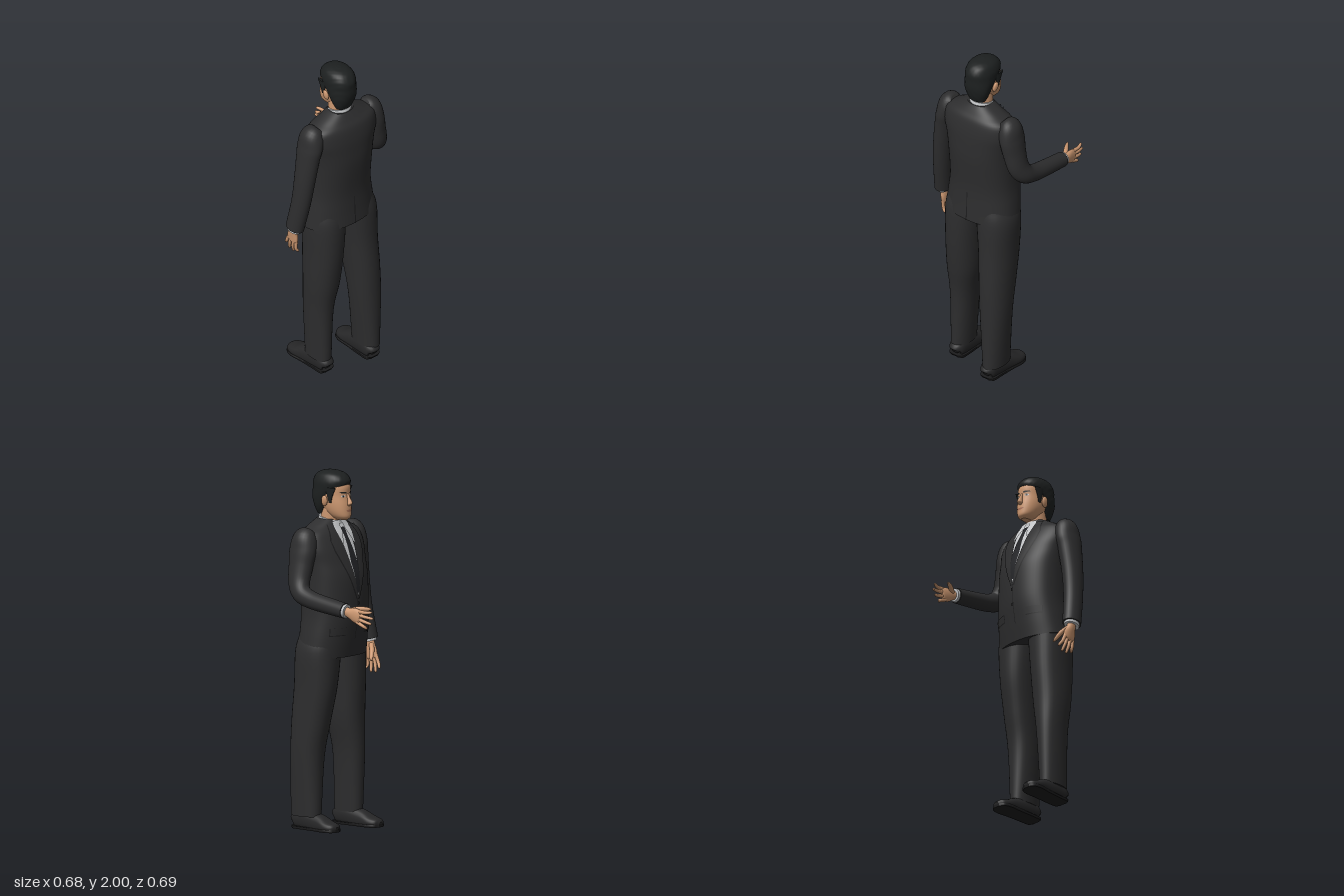
import * as THREE from 'three';

const mat = (name, color) => {
  const m = new THREE.MeshStandardMaterial({ color });
  m.name = name;
  return m;
};
const V = (x, y, z) => new THREE.Vector3(x, y, z);
const X = V(1, 0, 0), UP = V(0, 1, 0);

// Smooth curves through rows [x, y, z, halfWidth, halfDepth]
function curves(rows) {
  const make = pts => new THREE.CatmullRomCurve3(pts, false, 'catmullrom', 0.5);
  return { pos: make(rows.map(r => V(r[0], r[1], r[2]))), rad: make(rows.map(r => V(r[3], r[4], 0))) };
}

// Closed skin over superelliptic rings; 'axis' fixes the ring direction, 'rule' moves each point
function loft(rows, { seg = 24, sub = 5, ref = X, axis = null, n = 2, rule = null } = {}) {
  const { pos, rad } = curves(rows), steps = (rows.length - 1) * sub;
  const verts = [], index = [];
  const add = p => { if (rule) rule(p); verts.push(p.x, p.y, p.z); };
  const pw = v => Math.sign(v) * Math.abs(v) ** (2 / n);
  const ring = t => {
    const c = pos.getPoint(t), r = rad.getPoint(t), T = axis || pos.getTangent(t);
    const S = ref.clone().addScaledVector(T, -ref.dot(T)).normalize(), N = T.clone().cross(S);
    for (let i = 0; i < seg; i++) {
      const a = i / seg * Math.PI * 2;
      add(c.clone().addScaledVector(S, r.x * pw(Math.cos(a))).addScaledVector(N, r.y * pw(Math.sin(a))));
    }
  };
  for (let j = 0; j <= steps; j++) ring(j / steps);
  for (let j = 0; j < steps; j++) for (let i = 0; i < seg; i++) {
    const a = j * seg + i, b = j * seg + (i + 1) % seg;
    index.push(a, b, b + seg, a, b + seg, a + seg);
  }
  // End caps with their own vertices keep the rims sharp
  for (const t of [0, 1]) {
    const s = verts.length / 3;
    ring(t);
    add(pos.getPoint(t));
    for (let i = 0; i < seg; i++) {
      const k = s + (i + 1) % seg;
      index.push(s + seg, ...(t ? [s + i, k] : [k, s + i]));
    }
  }
  const g = new THREE.BufferGeometry();
  g.setAttribute('position', new THREE.Float32BufferAttribute(verts, 3));
  g.setIndex(index);
  g.computeVertexNormals();
  return g;
}

// Thin sheet lying on an upright loft; rows [y, xMin, xMax] run downward, side -1 is the face side
function patch(body, n, rows, off, side = -1) {
  const { pos, rad } = curves(body), verts = [], index = [], nx = 6, sub = 8;
  const steps = (rows.length - 1) * sub;
  for (let j = 0; j <= steps; j++) {
    const k = Math.min(Math.floor(j / sub), rows.length - 2), f = j / sub - k;
    const [y, x0, x1] = rows[k].map((v, q) => v + (rows[k + 1][q] - v) * f);
    let lo = 0, hi = 1;
    for (let q = 0; q < 24; q++) { const m = (lo + hi) / 2; if (pos.getPoint(m).y < y) lo = m; else hi = m; }
    const c = pos.getPoint(lo), r = rad.getPoint(lo);
    for (let i = 0; i <= nx; i++) {
      const x = x0 + (x1 - x0) * i / nx, u = Math.min(1, Math.abs((x - c.x) / r.x));
      verts.push(x, y, c.z + side * (r.y * (1 - u ** n) ** (1 / n) + off));
    }
  }
  for (let j = 0; j < steps; j++) for (let i = 0; i < nx; i++) {
    const a = j * (nx + 1) + i, b = a + 1, c = a + nx + 1, d = c + 1;
    index.push(...(side < 0 ? [a, b, d, a, d, c] : [a, d, b, a, c, d]));
  }
  const g = new THREE.BufferGeometry();
  g.setAttribute('position', new THREE.Float32BufferAttribute(verts, 3));
  g.setIndex(index);
  g.computeVertexNormals();
  return g;
}
const mirrored = (rows, s) => s > 0 ? rows : rows.map(([y, a, b]) => [y, -b, -a]);

export function createModel() {
  const model = new THREE.Group();
  const suit = mat('suit charcoal', 0x2d2d2e), seam = mat('seam black', 0x1c1c1d), hairM = mat('hair black', 0x1d2020);
  const skin = mat('skin', 0xcd9871), lip = mat('lip', 0xa87058), shirt = mat('shirt grey white', 0xc6c8ca);
  const tieM = mat('tie', 0x222326), shoeM = mat('shoe', 0x262627);
  const put = (name, geo, m) => {
    const o = new THREE.Mesh(geo, m);
    o.name = name;
    model.add(o);
    return o;
  };

  // Jacket body, hem dipping at the chest side
  const torso = [[0, 1, .175, .225, .147], [0, 1.1, .163, .215, .153], [0, 1.22, .155, .203, .16], [0, 1.4, .165, .205, .165],
    [0, 1.5, .178, .215, .152], [0, 1.58, .19, .23, .135], [0, 1.65, .2, .215, .11], [0, 1.69, .2, .15, .085], [0, 1.73, .195, .075, .062]];
  const hem = p => { if (p.y < 1.2) p.y -= .03 * (1.2 - p.y) / .2 * THREE.MathUtils.clamp((.25 - p.z) / .2, 0, 1); };
  put('jacket', loft(torso, { seg: 56, axis: UP, n: 2.3, rule: hem }), suit);
  const onTorso = (name, rows, off, m, side) => put(name, patch(torso, 2.3, rows, off, side), m);
  onTorso('shirtFront', [[1.715, -.05, .05], [1.6, -.055, .055], [1.3, -.004, .004]], .003, shirt);
  onTorso('tie', [[1.685, -.022, .022], [1.645, -.013, .013], [1.5, -.026, .026], [1.33, -.012, .012]], .008, tieM);
  onTorso('frontClosure', [[1.3, -.002, .002], [1.05, -.002, .002]], .003, seam);
  onTorso('backVent', [[1.18, -.002, .002], [1.0, -.004, .004]], .003, seam, 1);
  for (const y of [1.27, 1.18]) onTorso('button', [[y + .008, -.008, .008], [y - .008, -.008, .008]], .007, seam);
  for (const s of [1, -1]) {
    onTorso('lapelEdge', mirrored([[1.705, .045, .094], [1.625, .046, .127], [1.565, .04, .12], [1.295, -.002, .014]], s), .005, seam);
    onTorso('lapel', mirrored([[1.705, .048, .09], [1.62, .05, .122], [1.57, .044, .115], [1.3, .001, .01]], s), .008, suit);
    onTorso('collarWing', mirrored([[1.72, .01, .06], [1.66, .02, .062], [1.6, .046, .05]], s), .011, shirt);
    onTorso('pocketEdge', mirrored([[1.14, .078, .172], [1.095, .078, .172]], s), .004, seam);
    onTorso('pocketFlap', mirrored([[1.14, .08, .17], [1.1, .08, .17]], s), .007, suit);
  }

  // Sleeves
  const arm = { seg: 28, sub: 6 };
  put('leftSleeve', loft([[-.17, 1.665, .2, .03, .04], [-.203, 1.64, .2, .063, .07], [-.225, 1.57, .2, .06, .083], [-.24, 1.5, .2, .057, .076],
    [-.262, 1.35, .197, .053, .066], [-.278, 1.2, .185, .049, .06], [-.296, 1.02, .155, .047, .057]], arm), suit);
  put('rightSleeve', loft([[.17, 1.665, .2, .03, .04], [.203, 1.64, .2, .063, .07], [.225, 1.57, .2, .06, .083], [.242, 1.49, .2, .056, .075],
    [.265, 1.4, .194, .052, .066], [.285, 1.343, .16, .05, .056], [.291, 1.315, .09, .047, .05], [.293, 1.299, 0, .046, .047],
    [.295, 1.278, -.155, .043, .043]], arm), suit);
  put('leftCuff', loft([[-.296, 1.03, .157, .04, .048], [-.298, 1.005, .152, .038, .046]], arm), shirt);
  put('rightCuff', loft([[.295, 1.279, -.14, .038, .039], [.295, 1.276, -.17, .036, .038]], arm), shirt);

  // Hands: local u along the fingers, v toward the thumb side, w out of the palm
  const hand = (name, o, u, v, w) => {
    const at = ([a, b, c, r, q]) => {
      const p = o.clone().addScaledVector(u, a).addScaledVector(v, b).addScaledVector(w, c);
      return [p.x, p.y, p.z, r, q];
    };
    const part = (label, rows) => put(name + label, loft(rows.map(at), { seg: 12, sub: 4, ref: w }), skin);
    part('Palm', [[-.02, 0, 0, .023, .027], [.02, 0, 0, .02, .028], [.06, 0, .003, .017, .041], [.095, -.002, .004, .013, .04], [.105, -.002, .004, .006, .03]]);
    const fingers = [[.029, .048, .165], [.01, .018, .182], [-.012, -.014, .177], [-.032, -.047, .155]];
    for (const [b, tip, len] of fingers) part('Finger', [[.085, b, .003, .01, .011], [.13, (b + tip) / 2, .004, .0095, .01],
      [len - .008, tip, .014, .0075, .008], [len, tip, .016, .003, .003]]);
    part('Thumb', [[.025, .015, .01, .014, .014], [.06, .033, .035, .013, .014], [.1, .042, .062, .009, .01], [.115, .044, .07, .003, .004]]);
  };
  hand('right', V(.296, 1.275, -.165), V(.02, -.24, -.97).normalize(), V(0, .97, -.24).normalize(), V(-1, 0, 0));
  hand('left', V(-.3, 1.01, .15), V(.02, -.97, -.22).normalize(), V(0, .22, -.97).normalize(), V(1, 0, 0));

  // Trouser legs, the left one stepping forward
  const leg = { seg: 32, axis: UP, n: 2.2 };
  put('rightTrouserLeg', loft([[.147, .075, .24, .057, .096], [.142, .4, .235, .08, .099], [.135, .6, .215, .09, .115],
    [.125, .8, .19, .1, .127], [.115, 1, .18, .113, .13], [.1, 1.1, .17, .1, .12]], leg), suit);
  put('leftTrouserLeg', loft([[-.14, .075, .17, .053, .09], [-.135, .4, .165, .07, .097], [-.123, .6, .178, .092, .112],
    [-.115, .8, .182, .1, .127], [-.108, 1, .18, .109, .13], [-.1, 1.1, .17, .1, .12]], leg), suit);

  // Shoes, flattened at the ground, with thin soles
  for (const [name, s, dz] of [['right', 1, 0], ['left', -1, -.07]]) {
    const rows = [[.138, .035, .325, .018, .02], [.138, .045, .31, .044, .045], [.138, .05, .25, .048, .06], [.142, .035, .15, .05, .055],
      [.146, .025, .08, .055, .034], [.148, .02, .035, .042, .025], [.148, .018, .018, .014, .012]].map(([x, ...r]) => [x * s, r[0], r[1] + dz, r[2], r[3]]);
    put(name + 'Shoe', loft(rows, { seg: 24, n: 2.3, rule: p => { p.y = Math.max(p.y, .004); } }), shoeM);
    const wide = rows.map(([x, y, z, a, b]) => [x, y * .2 + .003, z, a + .004, b + .01]);
    put(name + 'Sole', loft(wide, { seg: 24, n: 3, rule: p => { p.y = THREE.MathUtils.clamp(p.y, 0, .015); } }), seam);
  }

  // Neck, collar and head
  put('neck', loft([[0, 1.68, .185, .058, .06], [0, 1.74, .18, .057, .06], [0, 1.81, .175, .056, .065]], { axis: UP }), skin);
  put('collar', loft([[0, 1.68, .188, .08, .075], [0, 1.742, .184, .065, .066]], { axis: UP, rule: p => { p.y += (p.z - .22) * .2; } }), shirt);
  const head = [[0, 1.728, .11, .022, .042], [0, 1.745, .114, .044, .062], [0, 1.775, .13, .06, .079], [0, 1.815, .15, .07, .096],
    [0, 1.865, .165, .074, .102], [0, 1.92, .17, .074, .105], [0, 1.965, .175, .055, .075], [0, 1.98, .175, .02, .03]];
  put('head', loft(head, { seg: 32, axis: UP, n: 2.15 }), skin);
  put('nose', loft([[0, 1.805, .06, .006, .006], [0, 1.818, .05, .015, .014], [0, 1.83, .05, .012, .017], [0, 1.85, .056, .008, .011], [0, 1.875, .064, .006, .005]],
    { seg: 12, axis: UP }), skin);
  const onHead = (name, rows, off, m) => put(name, patch(head, 2.15, rows, off), m);
  onHead('mouth', [[1.787, -.02, .02], [1.782, -.024, .024], [1.775, -.013, .013]], .002, lip);
  for (const s of [1, -1]) {
    onHead('eyebrow', mirrored([[1.888, .018, .045], [1.883, .013, .052], [1.878, .013, .03]], s), .004, hairM);
    onHead('eyeWhite', mirrored([[1.869, .026, .038], [1.863, .019, .045], [1.858, .026, .038]], s), .002, shirt);
    onHead('pupil', mirrored([[1.869, .028, .037], [1.858, .028, .037]], s), .003, hairM);
    const ear = put('ear', new THREE.SphereGeometry(1, 16, 12), skin);
    ear.scale.set(.012, .032, .02);
    ear.position.set(.08 * s, 1.835, .165);
    ear.rotation.set(-.15, 0, -.15 * s);
  }

  // Short hair with a gently tousled surface
  const tousle = p => {
    const k = 1 + .012 * Math.sin(p.x * 170 + p.y * 90) * Math.sin(p.z * 150 - p.y * 60);
    p.x *= k;
    p.z = .18 + (p.z - .18) * k;
  };
  put('hair', loft([[0, 1.755, .222, .05, .034], [0, 1.8, .22, .07, .055], [0, 1.85, .21, .08, .077], [0, 1.9, .186, .083, .102],
    [0, 1.94, .175, .082, .112], [0, 1.975, .176, .068, .09], [0, 1.993, .18, .042, .055], [0, 2, .182, .012, .015]],
    { seg: 48, sub: 6, axis: UP, n: 2.2, rule: tousle }), hairM);
  for (const s of [1, -1]) put('sideburn', loft([[.071 * s, 1.825, .132, .005, .008], [.073 * s, 1.86, .132, .007, .018], [.074 * s, 1.91, .13, .008, .04]],
    { seg: 12, axis: UP }), hairM);

  return model;
}
